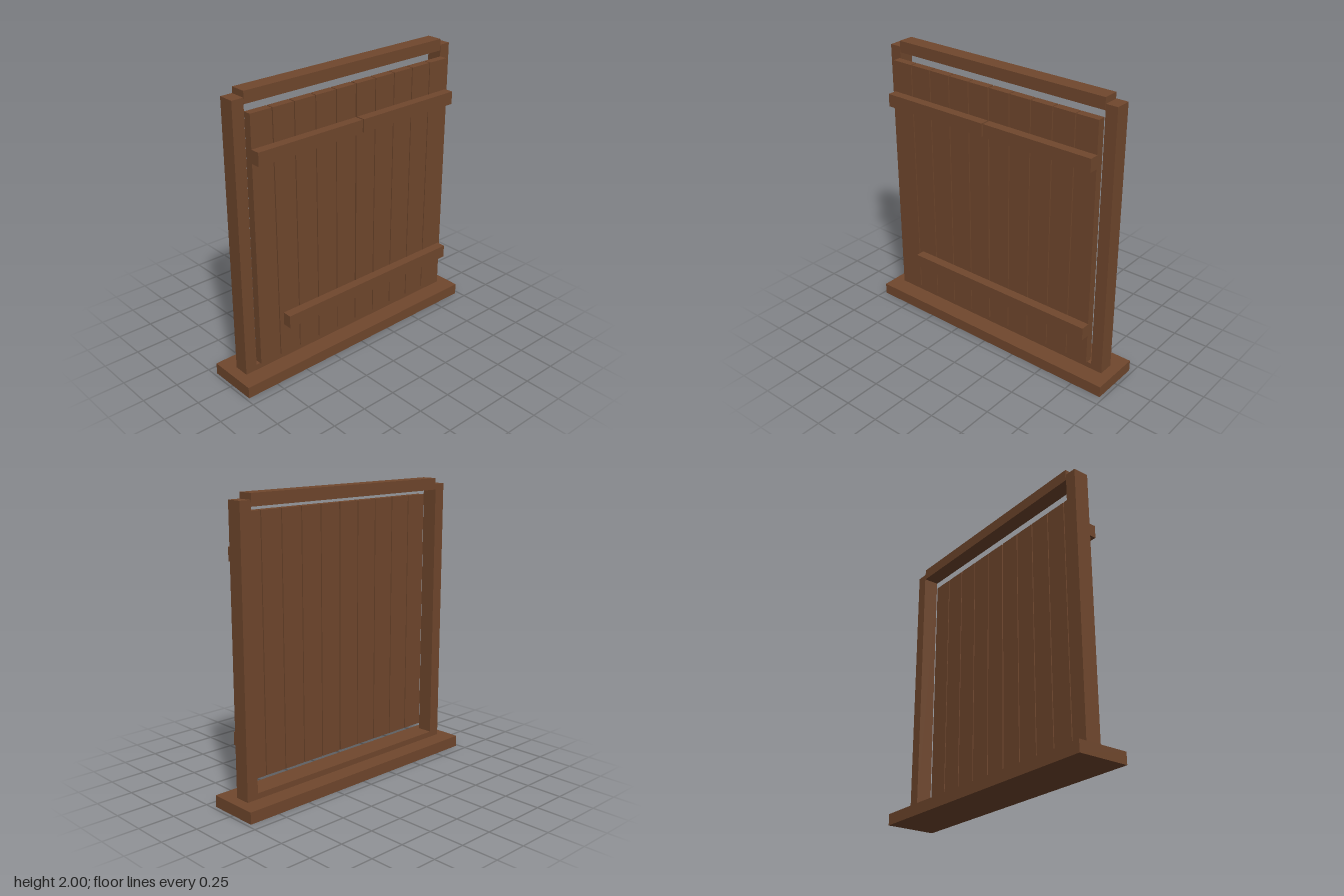
import * as THREE from 'three';

export function createModel() {
  const group = new THREE.Group();
  group.name = 'plankShutter';
  const wood = new THREE.MeshStandardMaterial({ color: 0x70472d });
  wood.name = 'brown wood';

  // Box given by its minimum and maximum on each axis
  function beam(name, [x0, x1], [y0, y1], [z0, z1]) {
    const mesh = new THREE.Mesh(new THREE.BoxGeometry(x1 - x0, y1 - y0, z1 - z0), wood);
    mesh.name = name;
    mesh.position.set((x0 + x1) / 2, (y0 + y1) / 2, (z0 + z1) / 2);
    group.add(mesh);
  }

  // Frame
  const frameZ = [-0.055, 0.055];
  beam('sill', [-0.98, 0.975], [0, 0.08], [-0.18, 0.18]);
  beam('rightPost', [-0.905, -0.822], [0.08, 1.96], frameZ);
  beam('leftPost', [0.818, 0.9], [0.08, 1.96], frameZ);
  beam('bottomRail', [-0.822, 0.818], [0.08, 0.12], frameZ);
  beam('topRail', [-0.82, 0.815], [1.92, 2], frameZ);

  // Ten upright planks, with a wider gap in the middle
  const pitch = 0.1645;
  for (let i = 0; i < 10; i++) {
    const x = -0.825 + i * pitch + (i > 4 ? 0.003 : 0);
    beam('plank' + (i + 1), [x, x + 0.157], [0.16, 1.88], [0.06, 0.115]);
  }

  // Cross battens on the front
  const battenZ = [0.115, 0.18];
  beam('upperRightBatten', [-0.825, -0.008], [1.57, 1.66], battenZ);
  beam('upperLeftBatten', [0.003, 0.818], [1.57, 1.66], battenZ);
  beam('lowerBatten', [-0.63, 0.818], [0.38, 0.47], battenZ);

  return group;
}
